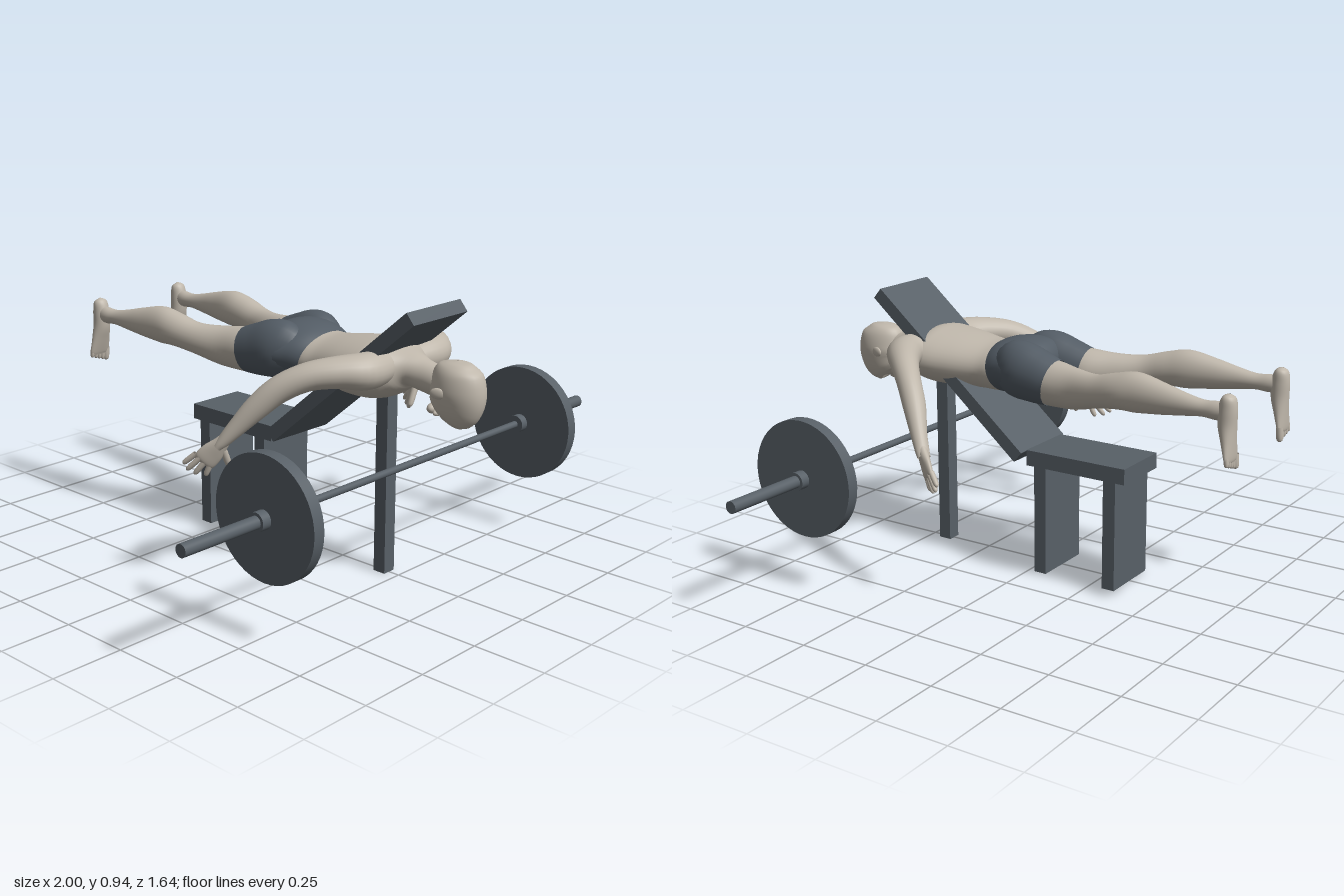
import * as THREE from 'three';

const mat = (name, color, side = THREE.FrontSide) => {
  const m = new THREE.MeshStandardMaterial({ color, side });
  m.name = name;
  return m;
};

// Smooth skin over elliptical sections [x, y, z, halfWidth, halfHeight]; hint is the height direction
function loft(rows, hint = [0, 1, 0], steps = 5, sides = 24) {
  const path = new THREE.CatmullRomCurve3(rows.map(r => new THREE.Vector3(r[0], r[1], r[2])), false, 'catmullrom');
  const size = new THREE.CatmullRomCurve3(rows.map(r => new THREE.Vector3(r[3], r[4], 0)), false, 'catmullrom');
  const up = new THREE.Vector3(...hint);
  const n = (rows.length - 1) * steps, pos = [], idx = [];
  for (let j = 0; j <= n; j++) {
    const c = path.getPoint(j / n), s = size.getPoint(j / n), t = path.getTangent(j / n);
    const u = new THREE.Vector3().crossVectors(up, t).normalize();
    const v = new THREE.Vector3().crossVectors(t, u);
    for (let i = 0; i < sides; i++) {
      const a = i / sides * Math.PI * 2;
      const p = c.clone().addScaledVector(u, Math.max(s.x, 0.001) * Math.cos(a))
        .addScaledVector(v, Math.max(s.y, 0.001) * Math.sin(a));
      pos.push(p.x, p.y, p.z);
      if (j < n) {
        const k = j * sides, i2 = (i + 1) % sides;
        idx.push(k + i, k + i2, k + sides + i, k + i2, k + sides + i2, k + sides + i);
      }
    }
  }
  const g = new THREE.BufferGeometry();
  g.setAttribute('position', new THREE.Float32BufferAttribute(pos, 3));
  g.setIndex(idx);
  g.computeVertexNormals();
  return g;
}

export function createModel() {
  const root = new THREE.Group();
  root.name = 'liftingFigure';
  const skin = mat('skin', 0xbfb7ab, THREE.DoubleSide);
  const cloth = mat('shortsCloth', 0x535c65, THREE.DoubleSide);
  const steel = mat('darkSteel', 0x586067);

  const add = (name, geo, m, x = 0, y = 0, z = 0) => {
    const mesh = new THREE.Mesh(geo, m);
    mesh.name = name;
    mesh.position.set(x, y, z);
    root.add(mesh);
    return mesh;
  };
  const box = (name, w, h, d, x, y, z) => add(name, new THREE.BoxGeometry(w, h, d), steel, x, y, z);
  const rod = (name, r, x0, x1) => add(name, new THREE.CylinderGeometry(r, r, x1 - x0, 48).rotateZ(Math.PI / 2),
    steel, (x0 + x1) / 2, 0.4, 0.53);
  const blob = (name, x, y, z, rx, ry, rz) =>
    add(name, new THREE.SphereGeometry(1, 20, 14).scale(rx, ry, rz), skin, x, y, z);
  // Left and right copies of a loft
  const pair = (name, rows, m, hint = [0, 1, 0], steps, sides) => {
    for (const s of [1, -1])
      add((s > 0 ? 'left' : 'right') + name,
        loft(rows.map(([x, ...r]) => [s * x, ...r]), [s * hint[0], hint[1], hint[2]], steps, sides), m);
  };
  // Rounded finger or toe between two points
  const digit = (name, a, b, r, hint) => {
    const at = (k, q) => [0, 1, 2].map(i => a[i] + (b[i] - a[i]) * k).concat(q, q);
    pair(name, [at(0, r), at(0.5, r), at(0.85, r * 0.85), at(0.96, r * 0.5), at(1, 0.001)], skin, hint, 3, 10);
  };

  // Bench
  box('seat', 0.22, 0.055, 0.39, 0, 0.415, -0.185);
  box('seatFrontLeg', 0.22, 0.39, 0.047, 0, 0.195, -0.046);
  box('seatRearLeg', 0.22, 0.39, 0.047, 0, 0.195, -0.322);
  box('backrestPost', 0.05, 0.72, 0.047, 0, 0.36, 0.435);
  box('backrest', 0.27, 0.047, 0.786, 0, 0.672, 0.33).rotation.x = -0.702;

  // Barbell
  rod('bar', 0.012, -0.62, 0.62);
  for (const s of [1, -1]) {
    const span = (name, r, a, b) => rod(name, r, Math.min(s * a, s * b), Math.max(s * a, s * b));
    span('weightPlate', 0.203, 0.63, 0.672);
    span('innerCollar', 0.031, 0.6, 0.63);
    span('outerCollar', 0.031, 0.672, 0.705);
    span('sleeve', 0.021, 0.67, 1);
  }

  // Torso and neck
  add('torso', loft([
    [0, 0.7, 0.66, 0.045, 0.05], [0, 0.715, 0.585, 0.049, 0.052], [0, 0.727, 0.54, 0.07, 0.056],
    [0, 0.725, 0.5, 0.13, 0.076], [0, 0.717, 0.45, 0.172, 0.096], [0, 0.71, 0.4, 0.174, 0.1],
    [0, 0.705, 0.32, 0.156, 0.096], [0, 0.7, 0.22, 0.131, 0.087], [0, 0.7, 0.16, 0.131, 0.087],
    [0, 0.7, 0.12, 0.125, 0.08]], undefined, 5, 40), skin);

  // Head, face down
  add('head', loft([
    [0, 0.785, 0.715, 0.002, 0.002], [0, 0.777, 0.715, 0.038, 0.052], [0, 0.75, 0.715, 0.061, 0.083],
    [0, 0.7, 0.72, 0.071, 0.097], [0, 0.66, 0.715, 0.067, 0.098], [0, 0.625, 0.7, 0.057, 0.088],
    [0, 0.606, 0.69, 0.044, 0.069], [0, 0.598, 0.685, 0.028, 0.045], [0, 0.595, 0.685, 0.002, 0.002]],
    [0, 0, 1], 5, 32), skin);
  blob('nose', 0, 0.598, 0.675, 0.012, 0.017, 0.022);
  blob('lips', 0, 0.603, 0.643, 0.022, 0.012, 0.01);
  blob('chin', 0, 0.614, 0.625, 0.026, 0.018, 0.018);
  for (const s of [1, -1]) {
    blob('ear', s * 0.072, 0.69, 0.695, 0.008, 0.018, 0.026).rotation.y = s * -0.3;
    blob('brow', s * 0.025, 0.608, 0.722, 0.022, 0.01, 0.009);
  }

  // Shorts
  add('shortsHips', loft([
    [0, 0.7, 0.16, 0.134, 0.09], [0, 0.713, 0.11, 0.152, 0.098], [0, 0.716, 0.05, 0.17, 0.098],
    [0, 0.712, 0, 0.155, 0.085], [0, 0.71, -0.03, 0.07, 0.05], [0, 0.71, -0.04, 0.002, 0.002]],
    undefined, 5, 40), cloth);
  pair('ShortsLeg', [
    [0.07, 0.71, 0.13, 0.05, 0.06], [0.085, 0.718, 0.08, 0.07, 0.094], [0.094, 0.72, 0.03, 0.083, 0.101],
    [0.1, 0.707, -0.04, 0.08, 0.092], [0.104, 0.696, -0.1, 0.075, 0.081]], cloth);

  // Legs
  pair('Leg', [
    [0.102, 0.697, -0.07, 0.07, 0.078], [0.106, 0.696, -0.11, 0.072, 0.078], [0.127, 0.696, -0.2, 0.055, 0.07],
    [0.158, 0.71, -0.3, 0.048, 0.056], [0.172, 0.728, -0.39, 0.054, 0.06], [0.176, 0.735, -0.46, 0.052, 0.066],
    [0.183, 0.731, -0.55, 0.042, 0.053], [0.188, 0.727, -0.63, 0.032, 0.038], [0.19, 0.725, -0.7, 0.026, 0.027],
    [0.192, 0.725, -0.75, 0.026, 0.03], [0.193, 0.728, -0.79, 0.02, 0.028]], skin);

  // Feet and toes
  pair('Foot', [
    [0.193, 0.785, -0.792, 0.002, 0.002], [0.193, 0.772, -0.79, 0.024, 0.022], [0.193, 0.735, -0.787, 0.029, 0.031],
    [0.193, 0.685, -0.787, 0.031, 0.03], [0.194, 0.635, -0.794, 0.037, 0.022], [0.195, 0.585, -0.802, 0.042, 0.013],
    [0.195, 0.57, -0.803, 0.036, 0.008]], skin, [0, 0, 1]);
  for (let i = 0; i < 5; i++) {
    const x = 0.164 + i * 0.016;
    digit('Toe', [x, 0.59, -0.803], [x, 0.54 + i * 0.005, -0.806], i ? 0.008 : 0.012, [0, 0, 1]);
  }

  // Arms
  pair('Arm', [
    [0.08, 0.735, 0.47, 0.06, 0.055], [0.165, 0.738, 0.475, 0.067, 0.06], [0.235, 0.742, 0.435, 0.058, 0.052],
    [0.31, 0.73, 0.37, 0.047, 0.046], [0.37, 0.69, 0.305, 0.041, 0.044], [0.415, 0.63, 0.25, 0.038, 0.04],
    [0.46, 0.56, 0.2, 0.028, 0.029], [0.485, 0.515, 0.168, 0.024, 0.021], [0.495, 0.495, 0.153, 0.022, 0.016]], skin);

  // Hands, palms turned inward with spread fingers
  const palm = [0.82, 0, 0.57];
  pair('Palm', [
    [0.481, 0.524, 0.174, 0.02, 0.016], [0.492, 0.5, 0.157, 0.027, 0.017], [0.506, 0.473, 0.136, 0.036, 0.015],
    [0.52, 0.446, 0.115, 0.036, 0.012], [0.524, 0.437, 0.109, 0.02, 0.004]], skin, palm);
  const knuckles = [[0.536, 0.467, 0.092], [0.528, 0.456, 0.106], [0.518, 0.447, 0.12], [0.508, 0.44, 0.133]];
  const tips = [[0.557, 0.43, 0.053], [0.551, 0.409, 0.063], [0.537, 0.396, 0.084], [0.515, 0.392, 0.112]];
  knuckles.forEach((k, i) => digit('Finger', k, tips[i], 0.0095, palm));
  digit('Thumb', [0.487, 0.492, 0.165], [0.456, 0.42, 0.165], 0.012, palm);

  return root;
}
